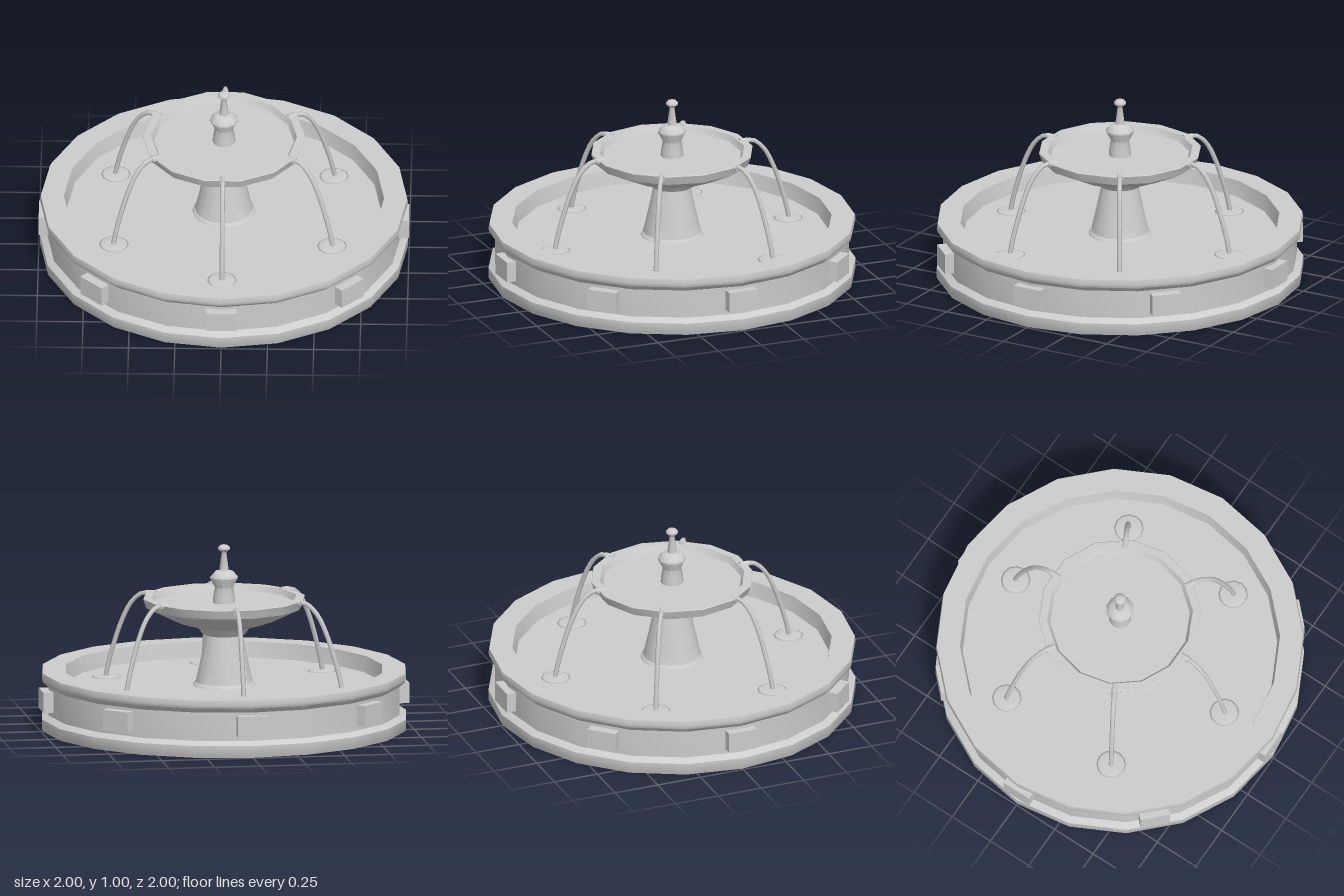
import * as THREE from 'three';
import { toCreasedNormals } from 'three/addons/utils/BufferGeometryUtils.js';

export function createModel() {
  const model = new THREE.Group();
  model.name = 'fountain';
  const stone = new THREE.MeshStandardMaterial({ color: 0xcccccc });
  stone.name = 'grey stone';

  const add = (name, geometry, parent = model) => {
    const mesh = new THREE.Mesh(geometry, stone);
    mesh.name = name;
    parent.add(mesh);
    return mesh;
  };

  // Turned part from [radius, height] pairs, first corner on the +x axis
  const turned = (name, profile, sides, crease = 0.6) => {
    const points = profile.map(([r, y]) => new THREE.Vector2(r, y));
    const geometry = new THREE.LatheGeometry(points, sides, Math.PI / 2);
    return add(name, toCreasedNormals(geometry, crease));
  };

  // Pool: plinth, wall, flared rim, inner wall and floor
  turned('basin', [
    [0, 0], [0.99, 0], [0.995, 0.01], [0.995, 0.065], [0.96, 0.088], [0.96, 0.243],
    [0.99, 0.27], [0.995, 0.29], [0.99, 0.316], [0.865, 0.316], [0.85, 0.23], [0, 0.23],
  ], 20);

  // Pedestal with foot and capital
  turned('pedestal', [
    [0.172, 0.228], [0.165, 0.242], [0.157, 0.248], [0.14, 0.32], [0.1, 0.505],
    [0.115, 0.51], [0.145, 0.55], [0, 0.552],
  ], 16);

  // Upper bowl
  turned('bowl', [
    [0, 0.55], [0.15, 0.55], [0.27, 0.585], [0.425, 0.66], [0.442, 0.708], [0.438, 0.712],
    [0.395, 0.712], [0.378, 0.68], [0, 0.68],
  ], 14);

  // Finial: waisted block, spike and knob
  turned('finial', [
    [0.062, 0.67], [0.06, 0.71], [0.05, 0.765], [0.077, 0.815], [0.076, 0.823],
    [0.048, 0.853], [0.026, 0.858], [0.014, 0.95], [0.016, 0.958], [0.033, 0.972],
    [0.033, 0.982], [0.022, 0.994], [0, 1],
  ], 10, 0.75);

  // Eight raised panels around the wall
  for (let i = 0; i < 8; i++) {
    const arm = new THREE.Group();
    arm.name = 'panelMount';
    arm.rotation.y = (i * Math.PI) / 4;
    const panel = add('wallPanel', new THREE.BoxGeometry(0.165, 0.112, 0.07), arm);
    panel.position.set(0, 0.171, 0.965);
    model.add(arm);
  }

  // Six spouts, each with a falling jet and a low splash ring
  const path = new THREE.CatmullRomCurve3([
    [0.41, 0.703], [0.45, 0.708], [0.485, 0.698], [0.54, 0.645], [0.594, 0.54],
    [0.647, 0.385], [0.668, 0.31], [0.685, 0.23],
  ].map(([z, y]) => new THREE.Vector3(0, y, z)));
  const jetGeometry = new THREE.TubeGeometry(path, 16, 0.013, 6);
  const splashGeometry = new THREE.SphereGeometry(0.08, 12, 3, 0, Math.PI * 2, 0, Math.PI / 2);
  splashGeometry.scale(1, 0.1, 1);
  for (let i = 0; i < 6; i++) {
    const arm = new THREE.Group();
    arm.name = 'waterSpout';
    arm.rotation.y = (i * Math.PI) / 3;
    const nozzle = add('nozzle', new THREE.CylinderGeometry(0.019, 0.019, 0.05, 8), arm);
    nozzle.rotation.x = Math.PI / 2;
    nozzle.position.set(0, 0.703, 0.42);
    add('jet', jetGeometry, arm);
    add('splash', splashGeometry, arm).position.set(0, 0.231, 0.68);
    model.add(arm);
  }
  return model;
}
